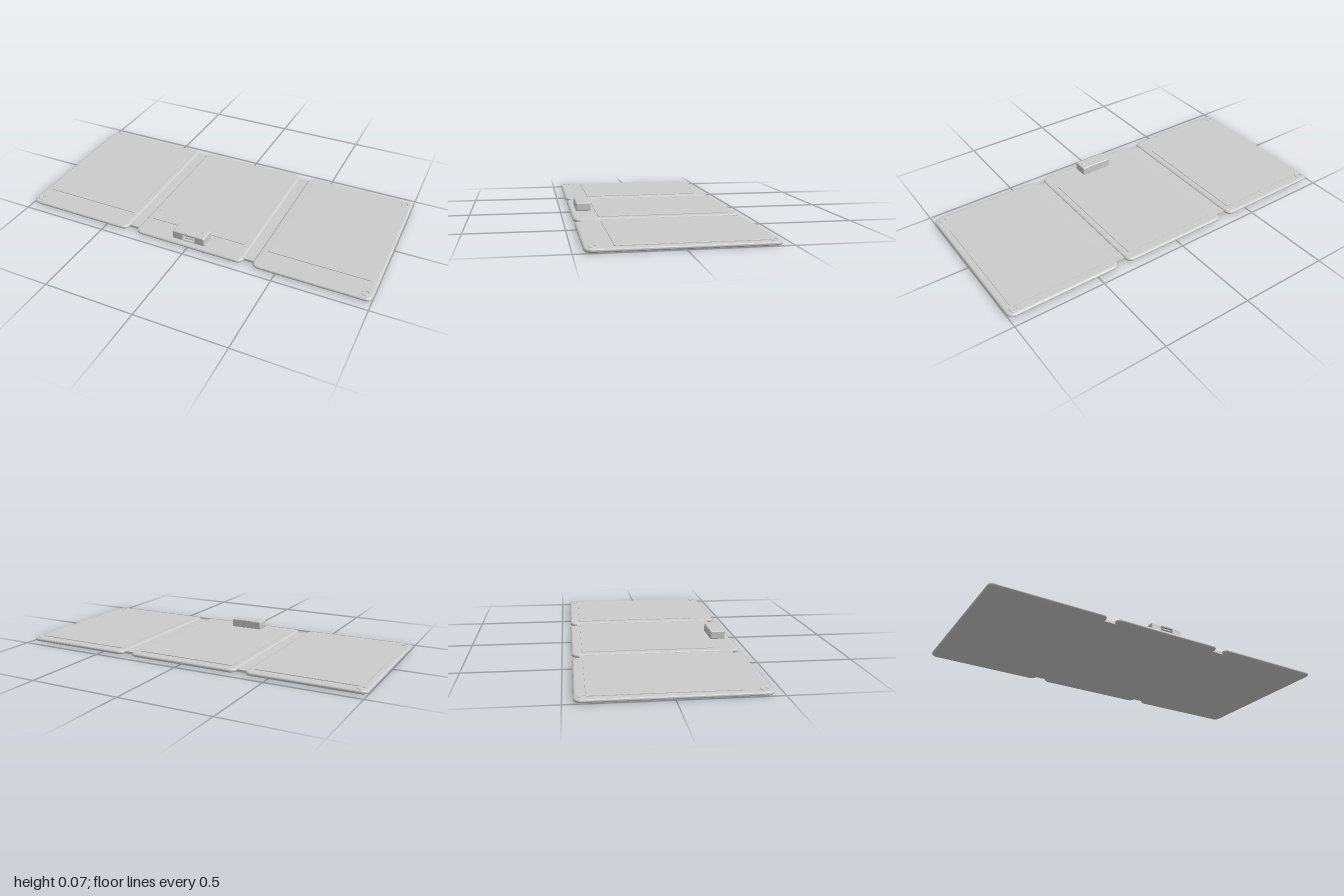
import * as THREE from 'three';

const material = new THREE.MeshStandardMaterial({ color: 0xcccccc, roughness: 0.7 });

function roundedRect(Type, cx, cy, w, h, r) {
  const s = new Type();
  const x0 = cx - w / 2, x1 = cx + w / 2, y0 = cy - h / 2, y1 = cy + h / 2;
  s.moveTo(x0 + r, y0);
  s.lineTo(x1 - r, y0);
  s.absarc(x1 - r, y0 + r, r, -Math.PI / 2, 0);
  s.lineTo(x1, y1 - r);
  s.absarc(x1 - r, y1 - r, r, 0, Math.PI / 2);
  s.lineTo(x0 + r, y1);
  s.absarc(x0 + r, y1 - r, r, Math.PI / 2, Math.PI);
  s.lineTo(x0, y0 + r);
  s.absarc(x0 + r, y0 + r, r, Math.PI, Math.PI * 1.5);
  return s;
}

// Extrudes a shape to an exact total depth, with bevels kept inside the outline
function extrude(shape, depth, bevelThickness, bevelSize) {
  const g = new THREE.ExtrudeGeometry(shape, {
    depth: depth - 2 * bevelThickness, bevelThickness, bevelSize,
    bevelOffset: -bevelSize, bevelSegments: 5, curveSegments: 8,
  });
  return g.translate(0, 0, bevelThickness);
}

// Flat plate lying on the xz plane, from y0 upwards
function plate(x0, x1, z0, z1, y0, height, radius, bevelT, bevelS) {
  const shape = roundedRect(THREE.Shape, (x0 + x1) / 2, -(z0 + z1) / 2, x1 - x0, z1 - z0, radius);
  return extrude(shape, height, bevelT, bevelS).rotateX(-Math.PI / 2).translate(0, y0, 0);
}

function add(parent, name, geometry) {
  const mesh = new THREE.Mesh(geometry, material);
  mesh.name = name;
  parent.add(mesh);
  return mesh;
}

function box(x0, x1, y0, y1, z0, z1) {
  return new THREE.BoxGeometry(x1 - x0, y1 - y0, z1 - z0)
    .translate((x0 + x1) / 2, (y0 + y1) / 2, (z0 + z1) / 2);
}

export function createModel() {
  const model = new THREE.Group();
  model.name = 'foldingSolarPanel';

  // Three padded leaves, each with a raised cell sheet
  const leaves = [
    ['rightLeaf', -1, -0.37, -0.965, -0.405],
    ['centreLeaf', -0.315, 0.315, -0.28, 0.28],
    ['leftLeaf', 0.37, 1, 0.405, 0.965],
  ];
  for (const [name, x0, x1, c0, c1] of leaves) {
    const leaf = new THREE.Group();
    leaf.name = name;
    add(leaf, 'fabricPad', plate(x0, x1, -0.45, 0.45, 0, 0.021, 0.035, 0.009, 0.015));
    add(leaf, 'cellSheet', plate(c0, c1, -0.395, 0.315, 0.018, 0.0065, 0.006, 0.001, 0.001));
    model.add(leaf);
  }

  for (const side of [-1, 1]) {
    // Thin fabric hinge between neighbouring leaves
    const xs = [side * 0.29, side * 0.395].sort((a, b) => a - b);
    add(model, 'fabricHinge', box(xs[0], xs[1], 0, 0.013, -0.41, 0.41));

    // Eyelets in the outer corners
    for (const z of [-0.413, 0.41]) {
      const eyelet = add(model, 'eyelet', new THREE.TorusGeometry(0.018, 0.004, 8, 24));
      eyelet.rotation.x = Math.PI / 2;
      eyelet.position.set(side * 0.96, 0.0205, z);
    }
  }

  // Charging box with a socket opening in its front face
  const charger = new THREE.Group();
  charger.name = 'chargingBox';
  const shell = roundedRect(THREE.Shape, -0.004, 0.043, 0.188, 0.05, 0.009);
  shell.holes.push(roundedRect(THREE.Path, -0.002, 0.044, 0.066, 0.028, 0.003));
  add(charger, 'housing', extrude(shell, 0.085, 0.008, 0.007).translate(0, 0, 0.335));
  add(charger, 'socketBack', box(-0.042, 0.038, 0.023, 0.065, 0.3352, 0.393));
  for (const y of [0.037, 0.051]) {
    add(charger, 'socketTongue', box(-0.028, 0.024, y - 0.003, y + 0.003, 0.39, 0.413));
  }
  // Indicator dome on the lid
  const dome = new THREE.SphereGeometry(0.009, 16, 8, 0, Math.PI * 2, 0, Math.PI / 2);
  dome.scale(1, 0.55, 1).translate(0.066, 0.067, 0.376);
  add(charger, 'indicator', dome);
  model.add(charger);

  return model;
}
